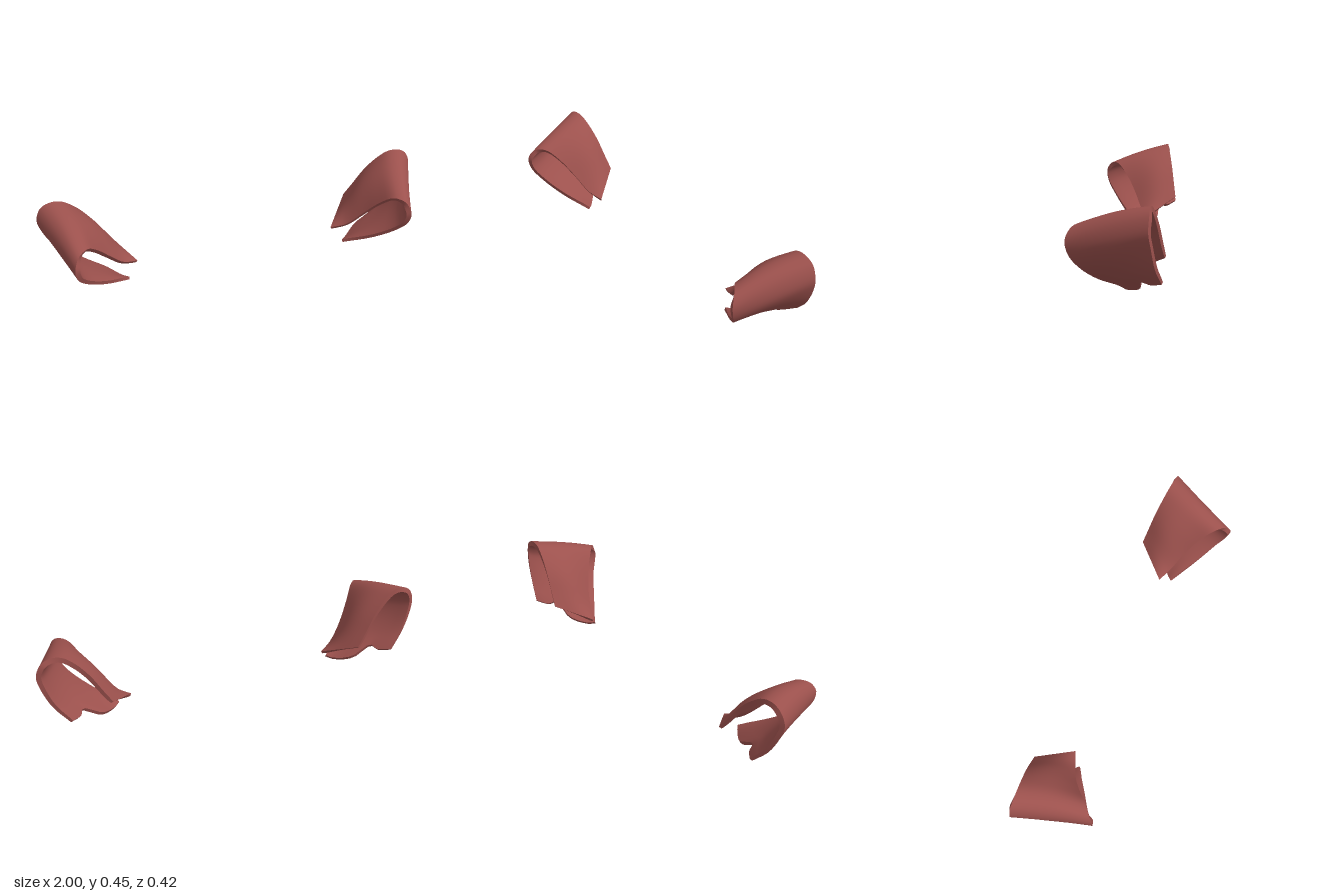
import * as THREE from 'three';

const V = (p) => new THREE.Vector3(...p);
const NU = 40, NV = 16, THICKNESS = 0.034;

// U-shaped rims, from the upper inner tip over the outer bend to the lower tip
const frontRim = [
  [0.53, 0.085, -0.05], [0.60, 0.115, -0.015], [0.67, 0.195, 0.025], [0.735, 0.288, 0.08],
  [0.79, 0.35, 0.14], [0.838, 0.342, 0.185], [0.862, 0.29, 0.212], [0.857, 0.225, 0.20],
  [0.82, 0.16, 0.16], [0.72, 0.08, 0.09], [0.585, 0.01, 0.0],
].map(V);
const backRim = [
  [0.66, 0.175, -0.21], [0.70, 0.24, -0.20], [0.755, 0.332, -0.186], [0.812, 0.40, -0.172],
  [0.873, 0.445, -0.16], [0.93, 0.449, -0.154], [0.975, 0.423, -0.153], [0.999, 0.36, -0.15],
  [0.985, 0.29, -0.16], [0.94, 0.19, -0.175], [0.87, 0.105, -0.20],
].map(V);
// how far the cloth swells between the rims, mostly on the upper flap
const swell = [0, 0.022, 0.03, 0.022, 0.012, 0.01, 0.007, 0, 0, 0, 0];
// lower hem, front to back, with its notch
const hem = new THREE.CatmullRomCurve3([
  [0.585, 0.01, 0.0], [0.62, 0.002, -0.03], [0.70, 0.03, -0.095],
  [0.80, 0.092, -0.11], [0.82, 0.086, -0.15], [0.87, 0.105, -0.20],
].map(V));

// Outer surface: loft between the rims, with the last point following the hem
function outerGrid() {
  const grid = [];
  for (let j = 0; j <= NV; j++) {
    const v = j / NV, s = Math.sin(Math.PI * v);
    const section = frontRim.map((p, k) => p.clone().lerp(backRim[k], v)
      .add(new THREE.Vector3(-0.5, 1, 0).multiplyScalar(swell[k] * s)));
    section[section.length - 1] = hem.getPoint(v);
    const curve = new THREE.CatmullRomCurve3(section);
    grid.push(Array.from({ length: NU + 1 }, (_, i) => curve.getPoint(i / NU)));
  }
  return grid;
}

// Inner surface: outer points pushed in along the local normal, thinner at tips and rims
function innerGrid(outer) {
  return outer.map((row, j) => row.map((p, i) => {
    const du = row[Math.min(i + 1, NU)].clone().sub(row[Math.max(i - 1, 0)]);
    const dv = outer[Math.min(j + 1, NV)][i].clone().sub(outer[Math.max(j - 1, 0)][i]);
    const t = THICKNESS * (0.55 + 0.45 * Math.sqrt(Math.abs(Math.sin(Math.PI * i / NU))))
      * (0.75 + 0.25 * Math.sqrt(Math.abs(Math.sin(Math.PI * j / NV))));
    return p.clone().addScaledVector(du.cross(dv).normalize(), -t);
  }));
}

function cuffGeometry(side) {
  const outer = outerGrid(), inner = innerGrid(outer);
  const pos = [], index = [];
  const add = (p) => pos.push(side * p.x, Math.max(p.y, 0), p.z) / 3 - 1;
  const tri = (a, b, c) => (side > 0 ? index.push(a, b, c) : index.push(a, c, b));
  const quad = (a, b, c, d) => { tri(a, b, c); tri(a, c, d); };

  // outer and inner faces
  [outer, inner].forEach((grid, layer) => {
    const id = grid.map((row) => row.map(add));
    for (let j = 0; j < NV; j++) for (let i = 0; i < NU; i++) {
      const q = [id[j][i], id[j][i + 1], id[j + 1][i + 1], id[j + 1][i]];
      quad(...(layer ? q.reverse() : q));
    }
  });

  // thin edge all round, each side with its own sharp border
  const range = (n) => Array.from({ length: n + 1 }, (_, k) => k);
  const borders = [
    range(NU).map((i) => [0, i]),
    range(NV).map((j) => [j, NU]),
    range(NU).map((i) => [NV, NU - i]),
    range(NV).map((j) => [NV - j, 0]),
  ];
  for (const border of borders) {
    const o = border.map(([j, i]) => add(outer[j][i]));
    const n = border.map(([j, i]) => add(inner[j][i]));
    for (let k = 0; k < border.length - 1; k++) quad(o[k], n[k], n[k + 1], o[k + 1]);
  }

  const geo = new THREE.BufferGeometry();
  geo.setAttribute('position', new THREE.Float32BufferAttribute(pos, 3));
  geo.setIndex(index);
  geo.computeVertexNormals();
  return geo;
}

export function createModel() {
  const model = new THREE.Group();
  model.name = 'pairOfCuffs';
  const cloth = new THREE.MeshStandardMaterial({ color: 0x9c514d });
  cloth.name = 'dusty red cloth';
  for (const [name, side] of [['leftCuff', 1], ['rightCuff', -1]]) {
    const cuff = new THREE.Mesh(cuffGeometry(side), cloth);
    cuff.name = name;
    model.add(cuff);
  }
  return model;
}
